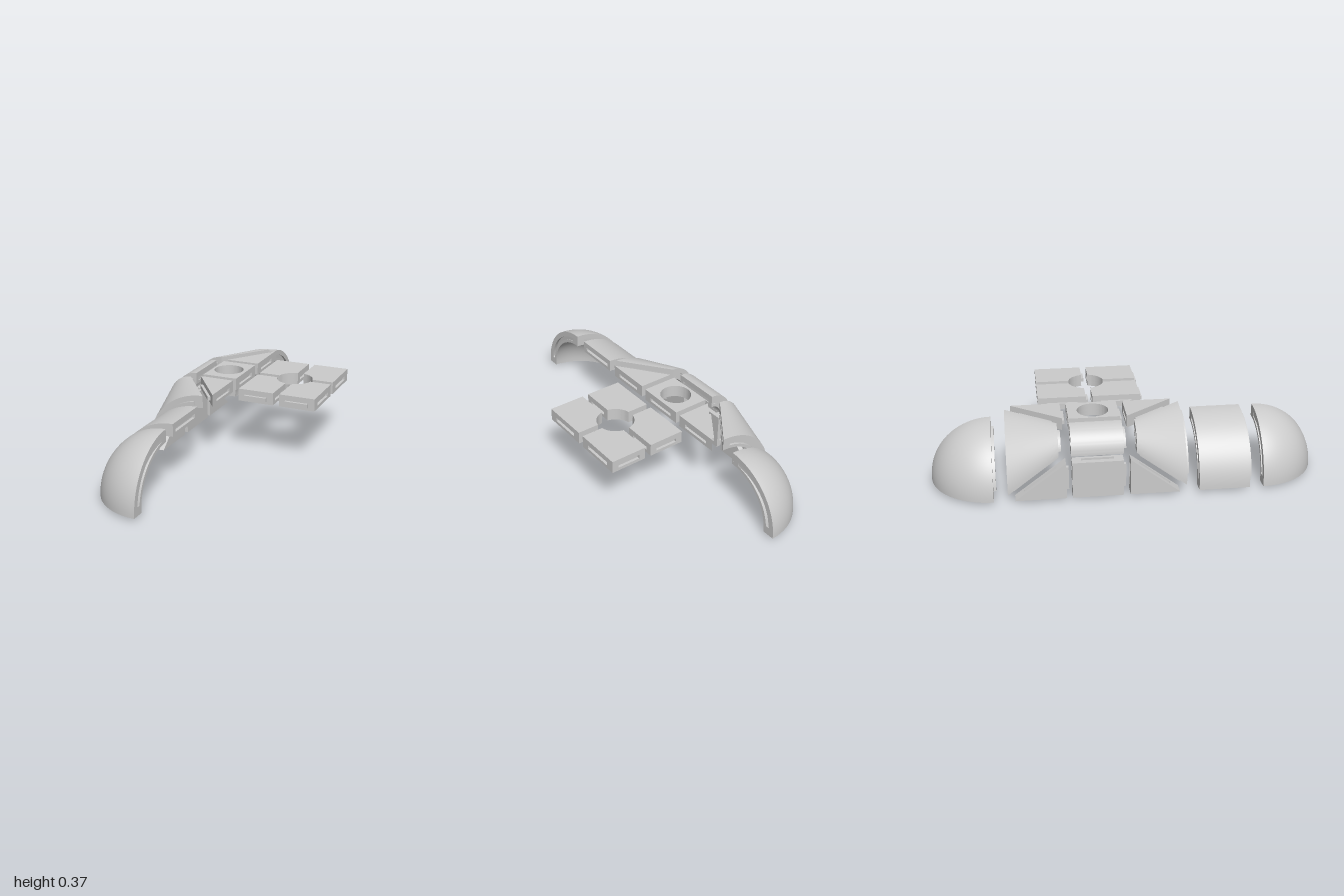
import * as THREE from 'three';
import { mergeGeometries, toCreasedNormals } from 'three/addons/utils/BufferGeometryUtils.js';

const TH = 0.065;           // panel thickness
const T = 0.014;            // tongue length and groove depth
const W0 = 0.25, W1 = 0.56; // joint position through the thickness
const material = new THREE.MeshStandardMaterial({ color: 0xcccccc, side: THREE.DoubleSide });
const lerp = THREE.MathUtils.lerp;

function mesh(name, geos) {
  const m = new THREE.Mesh(mergeGeometries(geos.map((g) => toCreasedNormals(g, 0.6))), material);
  m.name = name;
  return m;
}

// Box bent by the rule f(u, v, w) -> Vector3
function block(f, [u0, u1], [v0, v1], [w0, w1], nu = 24, nv = 24) {
  const g = new THREE.BoxGeometry(1, 1, 1, nu, nv, 1);
  const p = g.attributes.position;
  const at = (x, y, z) => f(lerp(u0, u1, x), lerp(v0, v1, y), lerp(w0, w1, z));
  for (let i = 0; i < p.count; i++) {
    const q = at(p.getX(i) + 0.5, p.getY(i) + 0.5, p.getZ(i) + 0.5);
    p.setXYZ(i, q.x, q.y, q.z);
  }
  // keep faces outward when the rule mirrors space
  const o = at(0.5, 0.5, 0.5);
  const du = at(0.6, 0.5, 0.5).sub(o), dv = at(0.5, 0.6, 0.5).sub(o), dw = at(0.5, 0.5, 0.6).sub(o);
  if (du.cross(dv).dot(dw) < 0) g.index.array.reverse();
  g.deleteAttribute('uv');
  return g;
}

// Curved shell: each of its sides u0, u1, v0, v1 is 'groove', a tongue direction, or plain
function shell(name, f, sides) {
  const d = 0.04, all = [0, 1], mid = [W0, W1];
  const cut = (s) => (sides[s] === 'groove' ? d : 0);
  const geos = [
    block(f, all, all, [0, W0]),
    block(f, all, all, [W1, 1]),
    block(f, [cut('u0'), 1 - cut('u1')], [cut('v0'), 1 - cut('v1')], mid),
  ];
  for (const [s, kind] of Object.entries(sides)) {
    const end = Number(s[1]), isU = s[0] === 'u';
    if (kind === 'groove') {
      const across = end ? [1 - d, 1] : [0, d];
      for (const along of [[0, 0.1], [0.9, 1]]) {
        geos.push(isU ? block(f, across, along, mid, 2, 6) : block(f, along, across, mid, 6, 2));
      }
    } else {
      const dir = new THREE.Vector3(...kind).setLength(T);
      const g = (a, b, w) => (isU ? f(end, a, w) : f(a, end, w)).addScaledVector(dir, b);
      geos.push(block(g, [0.1, 0.9], [0, 1], mid, 24, 1));
    }
  }
  return mesh(name, geos);
}

// Quarter-arc shell running from section a to section b, each [centre x, centre y, radius, z]
function quarter(name, a, b, sides) {
  const f = (u, v, w) => {
    const [x, y, r, z] = a.map((n, i) => lerp(n, b[i], v));
    const t = u * Math.PI / 2, R = r - TH * (1 - w);
    return new THREE.Vector3(x - R * Math.cos(t), y + R * Math.sin(t), z);
  };
  return shell(name, f, sides);
}

// Eighth of a hollow ball; s is the z direction it bulges to
function dome(name, s, sides) {
  const f = (u, v, w) => {
    const a = u * Math.PI / 2, e = v * Math.PI / 2, R = 0.32 - TH * (1 - w);
    return new THREE.Vector3(-0.11 - R * Math.cos(e) * Math.cos(a), 0.015 + R * Math.sin(e),
      s * (0.68 + R * Math.cos(e) * Math.sin(a)));
  };
  return shell(name, f, sides);
}

// Flat panel in three layers; joint(nx, ny) gives + for a tongue, - for a groove on a long edge
function panel(name, pts, joint, place, hole) {
  if (THREE.ShapeUtils.isClockWise(pts)) pts = pts.slice().reverse();
  const jointed = [];
  pts.forEach((p, i) => {
    const q = pts[(i + 1) % pts.length], e = q.clone().sub(p), len = e.length();
    jointed.push(p);
    const n = new THREE.Vector2(e.y, -e.x).divideScalar(len);
    const k = len > 0.05 ? joint(n.x, n.y) : 0;
    if (!k) return;
    for (const [t, out] of [[0.18, 0], [0.18, 1], [0.82, 1], [0.82, 0]]) {
      jointed.push(p.clone().lerp(q, t).addScaledVector(n, out * k * T));
    }
  });
  const layer = (outline, w0, w1) => {
    const shape = new THREE.Shape(outline);
    if (hole) shape.holes.push(new THREE.Path().absarc(...hole, 0, Math.PI * 2, true));
    const g = new THREE.ExtrudeGeometry(shape, { depth: (w1 - w0) * TH, bevelEnabled: false, curveSegments: 32 });
    g.deleteAttribute('uv');
    return place(g.translate(0, 0, w0 * TH));
  };
  return mesh(name, [layer(pts, 0, W0), layer(jointed, W0, W1), layer(pts, W1, 1)]);
}

const P = (list) => list.map(([x, y]) => new THREE.Vector2(x, y));
// Top panels are drawn in (x, -z), side panels in (z, y)
const onTop = (g) => g.rotateX(-Math.PI / 2).translate(0, 0.305, 0);
const onSide = (g) => g.rotateY(-Math.PI / 2).translate(-0.365, 0, 0);
const topJoint = (nx, ny) => (nx < -0.9 || ny < -0.9 ? 1 : nx > 0.9 || ny > 0.9 ? -1 : 1);
const sideJoint = (nz, ny) => (nz > 0.9 || ny < -0.9 ? 1 : -1);

export function createModel() {
  const model = new THREE.Group();
  model.name = 'shellKit';
  const down = [0, -1, 0], front = [0, 0, 1];

  // Rounded ends
  model.add(
    dome('frontDome', 1, { u0: 'groove', u1: 'groove', v0: down }),
    dome('backDome', -1, { u0: front, u1: 'groove', v0: down }),
  );

  // Straight, tapering and narrow quarter-round shells
  const small = [-0.305, 0.245, 0.125], big = [-0.11, 0.05, 0.32];
  model.add(
    quarter('straightShell', [-0.11, 0.015, 0.32, 0.35], [-0.11, 0.015, 0.32, 0.61],
      { u0: down, u1: 'groove', v0: 'groove', v1: front }),
    quarter('frontTaper', [...small, 0.03], [...big, 0.285],
      { u0: [0, -0.255, -0.195], u1: 'groove', v0: 'groove', v1: front }),
    quarter('backTaper', [...big, -0.61], [...small, -0.355],
      { u0: [0, -0.255, 0.195], u1: 'groove', v0: 'groove', v1: front }),
    quarter('narrowShell', [...small, -0.294], [...small, -0.034],
      { u0: down, u1: 'groove', v0: 'groove', v1: front }),
  );

  // Side wall and its triangles
  const y0 = 0.015, y1 = 0.207;
  model.add(
    panel('sideWall', P([[-0.29, y0], [-0.034, y0], [-0.034, y1], [-0.29, y1]]), sideJoint, onSide),
    panel('frontSideTriangle', P([[0, y0], [0.25, y0], [0, y1]]),
      (nz, ny) => (ny < -0.9 ? 1 : -1), onSide),
    panel('backSideTriangle', P([[-0.32, y0], [-0.32, y1], [-0.575, y0]]), sideJoint, onSide),
  );

  // Top plate with round hole and its triangles
  model.add(
    panel('holePlate', P([[-0.26, 0.034], [-0.068, 0.034], [-0.068, 0.294], [-0.26, 0.294]]),
      topJoint, onTop, [-0.168, 0.164, 0.08]),
    panel('frontTopTriangle', P([[-0.26, 0], [-0.072, 0], [-0.072, -0.25]]), topJoint, onTop),
    panel('backTopTriangle', P([[-0.25, 0.325], [-0.065, 0.325], [-0.065, 0.58]]), topJoint, onTop),
  );

  // Four flat tiles around a round opening
  const gap = 0.017, r = 0.095, a0 = Math.asin(gap / r);
  for (const sx of [-1, 1]) {
    for (const sy of [-1, 1]) {
      const pts = [[0.208, gap], [0.208, 0.27], [gap, 0.27]];
      for (let i = 0; i <= 14; i++) {
        const a = lerp(Math.PI / 2 - a0, a0, i / 14);
        pts.push([r * Math.cos(a), r * Math.sin(a)]);
      }
      const name = (sy < 0 ? 'front' : 'back') + (sx < 0 ? 'Right' : 'Left') + 'Tile';
      model.add(panel(name, P(pts.map(([x, y]) => [0.217 + sx * x, 0.165 + sy * y])), topJoint, onTop));
    }
  }
  return model;
}
